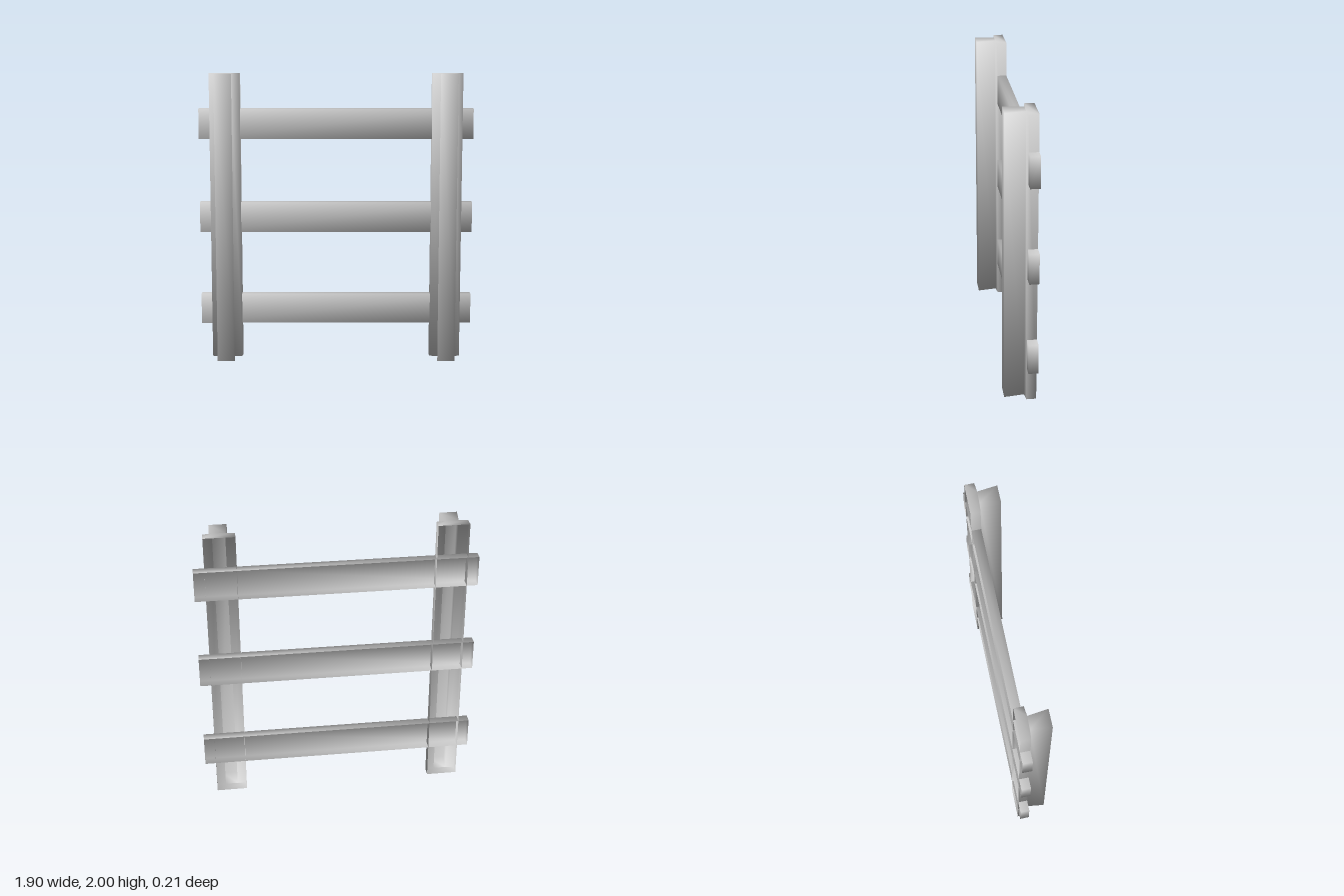
import * as THREE from 'three';
import { mergeVertices } from 'three/addons/utils/BufferGeometryUtils.js';

const material = new THREE.MeshStandardMaterial({ color: 0xcccccc, side: THREE.DoubleSide });
const BACK = -0.104;

// Weld the corners, leave the back plane open, and blend the normals evenly
// so the shading rolls around the edges
function openShell(source) {
  source.deleteAttribute('uv');
  source.deleteAttribute('normal');
  const geometry = mergeVertices(source, 1e-4);
  const position = geometry.attributes.position;
  const points = Array.from({ length: position.count },
    (_, i) => new THREE.Vector3().fromBufferAttribute(position, i));
  const sums = points.map(() => new THREE.Vector3());
  const kept = [];
  const faceNormal = new THREE.Vector3();
  for (let i = 0; i < geometry.index.count; i += 3) {
    const face = [0, 1, 2].map((k) => geometry.index.getX(i + k));
    if (face.every((v) => Math.abs(points[v].z - BACK) < 1e-3)) continue;
    THREE.Triangle.getNormal(...face.map((v) => points[v]), faceNormal);
    face.forEach((v) => sums[v].add(faceNormal));
    kept.push(...face);
  }
  const normals = sums.flatMap((n) => n.normalize().toArray());
  geometry.setAttribute('normal', new THREE.Float32BufferAttribute(normals, 3));
  geometry.setIndex(kept);
  return geometry;
}

function addMesh(group, name, geometry, x, y) {
  const mesh = new THREE.Mesh(geometry, material);
  mesh.name = name;
  mesh.position.set(x, y, 0);
  group.add(mesh);
}

// Upright rail: T section with a wide flange behind a flared front stem
function railGeometry() {
  const half = [[0.06, -0.104], [0.043, 0.031], [0.106, 0.038], [0.106, -BACK]];
  const mirrored = half.map(([x, y]) => [-x, y]).reverse();
  const shape = new THREE.Shape([...half, ...mirrored].map(([x, y]) => new THREE.Vector2(x, y)));
  const geometry = new THREE.ExtrudeGeometry(shape, { depth: 2, bevelEnabled: false });
  geometry.rotateX(-Math.PI / 2);
  return openShell(geometry);
}

// Flat rung, long enough to pass through both flanges
function rungGeometry() {
  const depth = 0.065;
  const geometry = new THREE.BoxGeometry(1.9, 0.21, depth);
  geometry.translate(0, 0, BACK + depth / 2);
  return openShell(geometry);
}

export function createModel() {
  const group = new THREE.Group();
  group.name = 'ladder';

  const rail = railGeometry();
  addMesh(group, 'leftRail', rail, 0.769, 0);
  addMesh(group, 'rightRail', rail, -0.769, 0);

  const rung = rungGeometry();
  ['lowerRung', 'middleRung', 'upperRung'].forEach((name, i) => {
    addMesh(group, name, rung, 0, 0.346 + i * 0.653);
  });

  return group;
}
